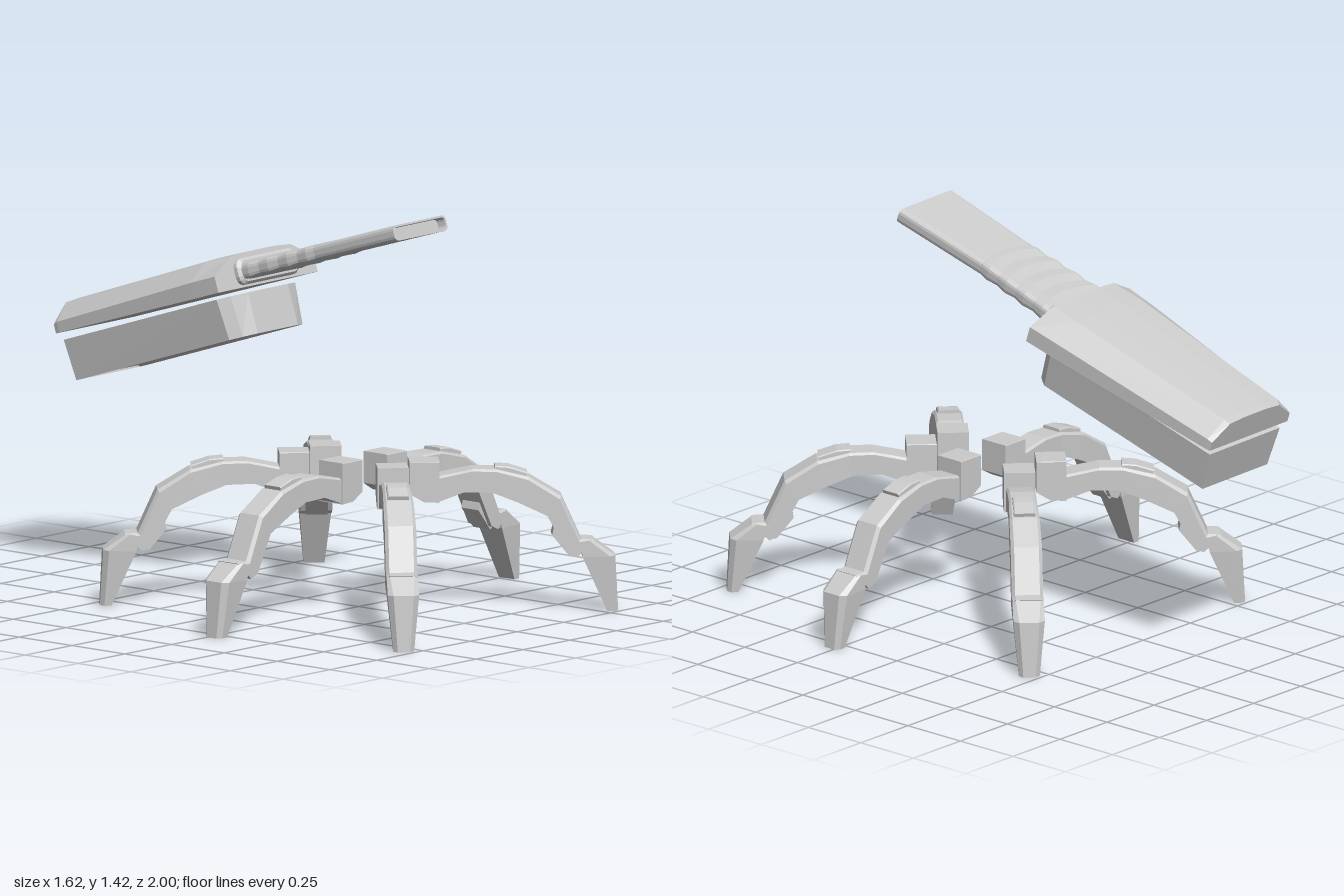
import * as THREE from 'three';

const material = new THREE.MeshStandardMaterial({ color: 0xcccccc, flatShading: true });

// Skins a list of equal-length cross-sections (arrays of [x, y, z]) and caps both ends.
function loft(sections, name) {
  const tris = [];
  const n = sections[0].length;
  for (let i = 0; i < sections.length - 1; i++) {
    const a = sections[i], b = sections[i + 1];
    for (let j = 0; j < n; j++) {
      const k = (j + 1) % n;
      tris.push([a[j], a[k], b[k]], [a[j], b[k], b[j]]);
    }
  }
  const cap = (s, flip) => {
    const c = [0, 1, 2].map((d) => s.reduce((sum, p) => sum + p[d], 0) / n);
    for (let j = 0; j < n; j++) {
      const k = (j + 1) % n;
      tris.push(flip ? [c, s[k], s[j]] : [c, s[j], s[k]]);
    }
  };
  cap(sections[0], true);
  cap(sections[sections.length - 1], false);
  // Make every face point outward
  let volume = 0;
  for (const [a, b, c] of tris) {
    volume += new THREE.Vector3(...a).dot(new THREE.Vector3(...b).cross(new THREE.Vector3(...c)));
  }
  if (volume < 0) tris.forEach((t) => t.reverse());
  const geometry = new THREE.BufferGeometry();
  geometry.setAttribute('position', new THREE.Float32BufferAttribute(tris.flat(2), 3));
  geometry.computeVertexNormals();
  const mesh = new THREE.Mesh(geometry, material);
  mesh.name = name;
  return mesh;
}

// Leg section between an upper/outer point and a lower/inner point, with chamfered outer edges
function legSection([tx, ty, bx, by, w, c]) {
  const f = c / Math.hypot(tx - bx, ty - by);
  const mx = tx + (bx - tx) * f, my = ty + (by - ty) * f;
  return [[bx, by, -w], [mx, my, -w], [tx, ty, c - w], [tx, ty, w - c], [mx, my, w], [bx, by, w]];
}

function createLeg() {
  const leg = new THREE.Group();
  // each row: outer r, outer y, inner r, inner y, half width, chamfer
  const parts = {
    hip: [
      [0.065, 0.55, 0.065, 0.435, 0.056, 0.002],
      [0.115, 0.55, 0.115, 0.405, 0.056, 0.002],
      [0.172, 0.55, 0.172, 0.402, 0.056, 0.002],
    ],
    thigh: [
      [0.165, 0.495, 0.165, 0.403, 0.05, 0.008],
      [0.29, 0.52, 0.26, 0.438, 0.05, 0.008],
      [0.375, 0.518, 0.36, 0.435, 0.05, 0.008],
      [0.49, 0.49, 0.45, 0.4, 0.054, 0.01],
      [0.605, 0.42, 0.555, 0.35, 0.056, 0.012],
    ],
    shin: [
      [0.605, 0.42, 0.555, 0.35, 0.056, 0.012],
      [0.675, 0.265, 0.625, 0.215, 0.056, 0.012],
      [0.72, 0.262, 0.66, 0.2, 0.056, 0.012],
    ],
    kneeGuard: [
      [0.6, 0.33, 0.578, 0.305, 0.04, 0.004],
      [0.6, 0.29, 0.572, 0.278, 0.04, 0.004],
      [0.655, 0.21, 0.635, 0.2, 0.04, 0.004],
    ],
    foot: [
      [0.715, 0.262, 0.672, 0.255, 0.056, 0.012],
      [0.797, 0.203, 0.68, 0.2, 0.056, 0.02],
      [0.808, 0.002, 0.768, 0.002, 0.037, 0.015],
    ],
    legPad: [
      [0.37, 0.53, 0.37, 0.49, 0.038, 0.004],
      [0.42, 0.526, 0.41, 0.48, 0.038, 0.004],
      [0.485, 0.505, 0.47, 0.46, 0.038, 0.004],
    ],
  };
  for (const [name, rows] of Object.entries(parts)) leg.add(loft(rows.map(legSection), name));
  return leg;
}

// Rounded flat tube section at depth z; bow pushes the middle forward
function flatSection(z, halfWidth, low, high, bow = 0) {
  const points = [];
  const r = (high - low) * 0.32;
  const corners = [[1, high - r, 0], [-1, high - r, 1], [-1, low + r, 2], [1, low + r, 3]];
  for (const [side, y, quarter] of corners) {
    for (let i = 0; i <= 3; i++) {
      const a = (quarter + i / 3) * Math.PI / 2;
      points.push([side * (halfWidth - r) + r * Math.cos(a), y + r * Math.sin(a), z]);
    }
    // points across the wide faces let the folds curve
    if (quarter % 2 === 0) {
      for (const t of [0.5, 0, -0.5]) {
        points.push([side * t * halfWidth, quarter === 0 ? high : low, z + bow * (1 - t * t)]);
      }
    }
  }
  return points;
}

function createHousing() {
  const housing = new THREE.Group();

  // Wide tapering upper shell
  const shell = (z, top, wide, yTop, yWide, yLow) => [
    [wide, yLow, z], [wide, yWide, z], [top, yTop - 0.006, z], [top * 0.45, yTop, z],
    [-top * 0.45, yTop, z], [-top, yTop - 0.006, z], [-wide, yWide, z], [-wide, yLow, z],
  ];
  housing.add(loft([
    shell(0.02, 0.165, 0.274, 0.105, 0.042, -0.017),
    shell(-0.1, 0.17, 0.268, 0.108, 0.042, -0.016),
    shell(-0.8, 0.145, 0.217, 0.097, 0.03, -0.009),
    shell(-0.82, 0.135, 0.213, 0.088, 0.025, -0.009),
  ], 'upperShell'));

  // Lower box with a curved front, lofted from bottom to top
  const plan = (y, front, rear, zf) => {
    const half = [[0.11, zf], [front * 0.85, zf - 0.025], [front, zf - 0.065], [rear, -0.81]];
    return [...half, ...half.map(([x, z]) => [-x, z]).reverse()].map(([x, z]) => [x, y, z]);
  };
  housing.add(loft([
    plan(-0.18, 0.182, 0.165, 0.0),
    plan(-0.187, 0.194, 0.177, 0.013),
    plan(-0.037, 0.21, 0.192, 0.013),
  ], 'lowerBox'));

  // Collar around the neck opening
  housing.add(loft([
    flatSection(-0.04, 0.165, -0.01, 0.09),
    flatSection(0.035, 0.163, -0.008, 0.086),
    flatSection(0.045, 0.15, 0.0, 0.076),
  ], 'collar'));

  // Folded neck
  const folds = [];
  for (let i = 0; i <= 8; i++) {
    const bulge = i % 2 ? 0.005 : 0;
    folds.push(flatSection(0.03 + i * 0.045, 0.15 - i * 0.002 + bulge, 0.011 - bulge, 0.062 + bulge, 0.03));
  }
  housing.add(loft(folds, 'foldedNeck'));

  // Long flat barrel with a shallow recessed mouth
  housing.add(loft([
    flatSection(0.38, 0.136, 0.01, 0.064),
    flatSection(0.775, 0.146, 0.004, 0.06),
    flatSection(0.775, 0.138, 0.011, 0.053),
    flatSection(0.74, 0.136, 0.012, 0.052),
  ], 'barrel'));
  return housing;
}

export function createModel() {
  const model = new THREE.Group();
  model.name = 'sixLeggedTurret';

  // Three legs per side, each row: name, heading, attachment z
  const legRows = [['front', -45, 0.4], ['middle', 0, 0.27], ['back', 45, 0.1]];
  for (const [place, heading, z] of legRows) {
    for (const side of ['Left', 'Right']) {
      const leg = createLeg();
      leg.name = `${place}${side}Leg`;
      leg.position.z = z;
      leg.rotation.y = THREE.MathUtils.degToRad(side === 'Left' ? heading : 180 - heading);
      model.add(leg);
    }
  }

  // Floating housing, tipped up at the front and turned slightly
  const housing = createHousing();
  housing.name = 'housing';
  housing.position.set(-0.005, 1.13, -0.2);
  housing.rotation.set(THREE.MathUtils.degToRad(-17.8), THREE.MathUtils.degToRad(1.6), 0, 'YXZ');
  model.add(housing);
  return model;
}
